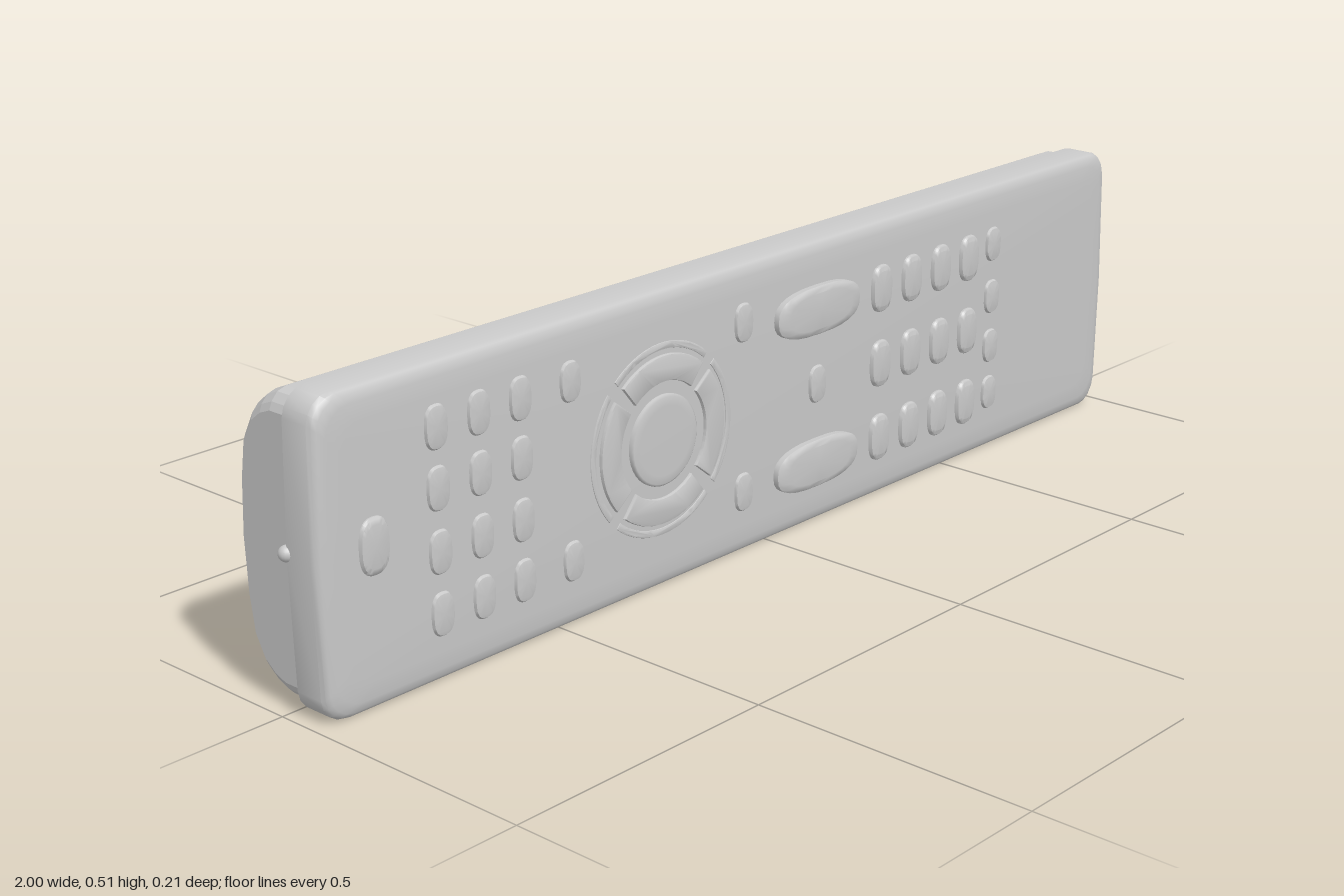
import * as THREE from 'three';
import { toCreasedNormals } from 'three/addons/utils/BufferGeometryUtils.js';

const CX = 0.004, CY = 0.256; // centre of the body

// Skins counter-clockwise rings of [x, y, z] and closes both ends.
function loft(rings, crease) {
  const n = rings[0].length, pos = rings.flat(2), idx = [];
  for (let i = 0; i < rings.length - 1; i++) {
    for (let j = 0; j < n; j++) {
      const a = i * n + j, b = i * n + (j + 1) % n;
      idx.push(a, b, b + n, a, b + n, a + n);
    }
  }
  const addCap = (ring, start, flip) => {
    const c = pos.length / 3;
    for (let k = 0; k < 3; k++) pos.push(ring.reduce((s, p) => s + p[k], 0) / n);
    for (let j = 0; j < n; j++) {
      const a = start + j, b = start + (j + 1) % n;
      if (flip) idx.push(c, b, a);
      else idx.push(c, a, b);
    }
  };
  addCap(rings[0], 0, true);
  addCap(rings[rings.length - 1], (rings.length - 1) * n, false);
  const g = new THREE.BufferGeometry();
  g.setAttribute('position', new THREE.Float32BufferAttribute(pos, 3));
  g.setIndex(idx);
  return toCreasedNormals(g, crease);
}

// Rounded rectangle with gently bowed ends
function plateRing(z, inset) {
  const hw = 0.994 - inset, hh = 0.256 - inset, r = 0.042, ring = [];
  for (let q = 0; q < 4; q++) {
    const sx = q === 0 || q === 3 ? 1 : -1, sy = q < 2 ? 1 : -1;
    for (let k = 0; k <= 4; k++) {
      const a = (q + k / 4) * Math.PI / 2;
      const y = sy * (hh - r) + r * Math.sin(a);
      const x = sx * (hw - r - 0.008 * (y / hh) ** 2) + r * Math.cos(a);
      ring.push([CX + x, CY + y, z]);
    }
    // midpoint of each end carries the bow
    if (q === 1) ring.push([CX - hw, CY, z]);
    if (q === 3) ring.push([CX + hw, CY, z]);
  }
  return ring;
}

// Cross-section of the rear shell, shrunk towards its ends
const HALF = [[0.244, -0.02], [0.234, -0.044], [0.215, -0.067], [0.174, -0.088], [0.105, -0.098]];
function shellRing(x, sy, sz) {
  const profile = [
    [0.244, 0.02],
    [-0.244, 0.02],
    ...HALF.map(([y, z]) => [-y, z]),
    [0, -0.103],
    ...[...HALF].reverse(),
  ];
  return profile.map(([y, z]) => [CX + x, CY + y * sy, 0.02 + (z - 0.02) * sz]);
}

// Softly domed button with a superellipse outline
function buttonGeometry(w, h, top) {
  const levels = [[0.08, 1], [top - 0.005, 1], [top - 0.0015, 0.93], [top, 0.75]];
  const rings = levels.map(([z, s]) => {
    const ring = [];
    for (let i = 0; i < 28; i++) {
      const a = i / 28 * Math.PI * 2, c = Math.cos(a), d = Math.sin(a);
      ring.push([
        Math.sign(c) * Math.abs(c) ** 0.75 * w / 2 * s,
        Math.sign(d) * Math.abs(d) ** 0.75 * h / 2 * s,
        z,
      ]);
    }
    return ring;
  });
  return loft(rings, 0.7);
}

// Raised ring sector
function sectorGeometry(r0, r1, a0, a1, top) {
  const b = 0.003;
  const s = new THREE.Shape();
  s.absarc(0, 0, r1 - b, a0, a1, false);
  s.absarc(0, 0, r0 + b, a1, a0, true);
  s.closePath();
  const g = new THREE.ExtrudeGeometry(s, {
    depth: top - 0.08 - b, bevelThickness: b, bevelSize: b, bevelSegments: 2, curveSegments: 20,
  });
  g.translate(0, 0, 0.08);
  return toCreasedNormals(g, 0.7);
}

export function createModel() {
  const model = new THREE.Group();
  const grey = new THREE.MeshStandardMaterial({ color: 0xc8c8c8 });
  grey.name = 'grey plastic';
  const add = (name, geometry, x = 0, y = 0, parent = model) => {
    const mesh = new THREE.Mesh(geometry, grey);
    mesh.name = name;
    mesh.position.set(x, y, 0);
    parent.add(mesh);
    return mesh;
  };

  // Front plate with rolled front edge
  add('frontPlate', loft([
    [0.02, 0], [0.073, 0], [0.08, 0.003], [0.085, 0.009], [0.088, 0.022], [0.0895, 0.05],
  ].map(([z, inset]) => plateRing(z, inset)), 0.6));

  // Faceted rear shell with rounded ends
  add('rearShell', loft([
    [-0.98, 0.88, 0.95], [-0.974, 0.93, 0.975], [-0.962, 0.98, 0.992], [-0.945, 1, 1],
    [0.945, 1, 1], [0.962, 0.98, 0.992], [0.974, 0.93, 0.975], [0.98, 0.88, 0.95],
  ].map(([x, sy, sz]) => shellRing(x, sy, sz)), 0.08));

  // Signal emitter bead
  add('emitterBead', new THREE.SphereGeometry(0.013, 16, 12), -0.987, 0.262).position.z = 0.016;

  // Buttons
  const buttons = new THREE.Group();
  buttons.name = 'buttons';
  model.add(buttons);
  const grid = (name, xs, ys, w, h, top) => {
    const geometry = buttonGeometry(w, h, top);
    for (const x of xs) for (const y of ys) add(name, geometry, x, y, buttons);
  };
  grid('powerButton', [-0.885], [0.263], 0.056, 0.092, 0.097);
  grid('numberButton', [-0.757, -0.671, -0.585], [0.413, 0.316, 0.214, 0.113], 0.044, 0.072, 0.096);
  grid('cornerButton', [-0.478, -0.072], [0.413, 0.112], 0.043, 0.068, 0.096);
  grid('muteButton', [0.12], [0.257], 0.043, 0.068, 0.096);
  grid('rockerButton', [0.115], [0.394, 0.115], 0.216, 0.086, 0.105);
  grid('functionButton', [0.293, 0.379, 0.464, 0.548], [0.391, 0.252, 0.113], 0.053, 0.086, 0.098);
  grid('sideButton', [0.623], [0.402, 0.301, 0.205, 0.113], 0.042, 0.064, 0.096);

  // Navigation pad: centre button, four arrow sectors, low outer rim arcs
  const pad = new THREE.Group();
  pad.name = 'navigationPad';
  pad.position.set(-0.27, 0.26, 0);
  model.add(pad);
  add('centreButton', new THREE.LatheGeometry(
    [[0.078, 0.08], [0.078, 0.094], [0.074, 0.097], [0.06, 0.098], [0, 0.098]]
      .map(([r, h]) => new THREE.Vector2(r, h)), 40).rotateX(Math.PI / 2), 0, 0, pad);
  for (let i = 0; i < 4; i++) {
    const mid = i * Math.PI / 2;
    add('arrowSector', sectorGeometry(0.1, 0.145, mid - 0.68, mid + 0.68, 0.096), 0, 0, pad);
    add('rimArc', sectorGeometry(0.153, 0.166, mid - 0.7, mid + 0.7, 0.0915), 0, 0, pad);
  }
  return model;
}
